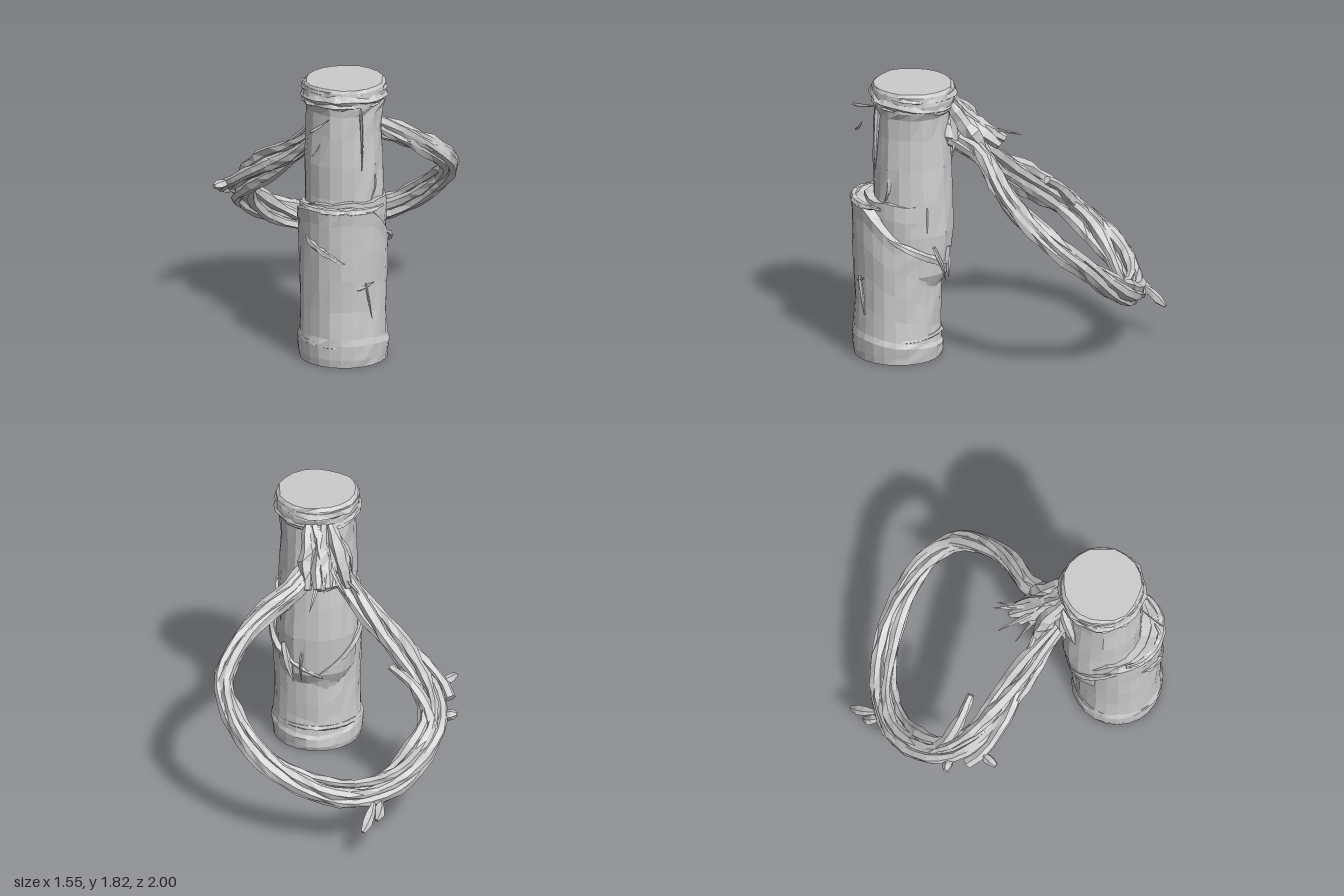
import * as THREE from 'three';

const V = (x, y, z) => new THREE.Vector3(x, y, z);
const TAU = Math.PI * 2;

export function createModel() {
  const group = new THREE.Group();
  const material = new THREE.MeshStandardMaterial({ color: 0xcccccc, flatShading: true, side: THREE.DoubleSide });
  let seed = 7;
  const rnd = () => (seed = (seed * 16807) % 2147483647) / 2147483647;
  const jit = (s) => (rnd() - 0.5) * 2 * s;

  // Skin a list of equal-length rings, capping both ends
  function loft(name, rings) {
    const n = rings[0].length, pos = [], idx = [];
    rings.forEach((r) => r.forEach((p) => pos.push(p.x, p.y, p.z)));
    for (let i = 0; i < rings.length - 1; i++) {
      for (let j = 0; j < n; j++) {
        const a = i * n + j, b = i * n + (j + 1) % n;
        idx.push(a, b, b + n, a, b + n, a + n);
      }
    }
    [0, rings.length - 1].forEach((row, end) => {
      const c = V(0, 0, 0);
      rings[row].forEach((p) => c.addScaledVector(p, 1 / n));
      const ci = pos.length / 3;
      pos.push(c.x, c.y, c.z);
      for (let j = 0; j < n; j++) {
        const a = row * n + j, b = row * n + (j + 1) % n;
        if (end) idx.push(ci, a, b); else idx.push(ci, b, a);
      }
    });
    const geo = new THREE.BufferGeometry();
    geo.setAttribute('position', new THREE.Float32BufferAttribute(pos, 3));
    geo.setIndex(idx);
    geo.computeVertexNormals();
    const mesh = new THREE.Mesh(geo, material);
    mesh.name = name;
    group.add(mesh);
  }

  // Horizontal ring; angle 0 faces the front and grows towards +x
  function ring(cx, cz, r, height, noise = 0, n = 20) {
    return Array.from({ length: n }, (_, j) => {
      const a = j / n * TAU, rr = r + jit(noise);
      return V(cx + Math.sin(a) * rr, typeof height === 'function' ? height(a) : height, cz + Math.cos(a) * rr);
    });
  }

  // Rough stem along a path; radius(t) may taper, flat squashes one axis
  function stem(name, pts, radius, { segs = 10, sides = 6, noise = 0.2, flat = 1 } = {}) {
    const curve = new THREE.CatmullRomCurve3(pts.map((p) => V(...p)));
    const f = curve.computeFrenetFrames(segs);
    const rings = [];
    for (let i = 0; i <= segs; i++) {
      const c = curve.getPointAt(i / segs), r = radius(i / segs);
      rings.push(Array.from({ length: sides }, (_, j) => {
        const a = j / sides * TAU, k = r * (1 + jit(noise));
        return c.clone().addScaledVector(f.normals[i], Math.cos(a) * k).addScaledVector(f.binormals[i], Math.sin(a) * k * flat);
      }));
    }
    loft(name, rings);
  }
  const spike = (name, pts, r, flat = 0.5) =>
    stem(name, pts, (t) => r * (0.25 + 1.6 * Math.sqrt(t + 0.05)) * (1 - t) + 0.002, { segs: 5, sides: 5, flat });

  // Piecewise linear height around the trunk, in degrees from the front
  const edge = (table) => (a) => {
    let d = a * 360 / TAU;
    if (d > 180) d -= 360;
    const k = Math.max(1, table.findIndex((p) => p[0] >= d - 1e-6));
    const [a0, h0] = table[k - 1], [a1, h1] = table[k];
    return h0 + (h1 - h0) * (d - a0) / (a1 - a0) + 0.008 * Math.sin(a * 7);
  };

  // Upper trunk
  const X = 0.095;
  loft('upperTrunk', [[0.45, 0.2, 0.64], [0.58, 0.25, 0.62], [0.85, 0.265, 0.605], [1.08, 0.252, 0.6], [1.3, 0.247, 0.605],
    [1.5, 0.24, 0.61], [1.64, 0.24, 0.605], [1.69, 0.258, 0.6], [1.74, 0.266, 0.6], [1.8, 0.264, 0.6], [1.82, 0.248, 0.6]]
    .map(([y, r, z]) => ring(X, z, r, y, 0.008)));

  // Lower sheath with a torn top edge falling towards the back
  const torn = edge([[-180, 0.56], [-135, 0.78], [-100, 0.98], [-60, 1.05], [0, 1.06], [45, 1.05], [70, 0.92], [95, 0.82], [135, 0.68], [180, 0.56]]);
  const profile = [[0, 0.28], [0.05, 0.288], [0.14, 0.29], [0.18, 0.28], [0.35, 0.274], [0.55, 0.277], [0.75, 0.28], [0.9, 0.286], [0.985, 0.292], [1, 0.275]];
  const sheath = profile.map(([t, r]) => ring(X, 0.695 + 0.012 * t, r, (a) => t * torn(a), t ? 0.006 : 0, 24));
  sheath.push(ring(X, 0.62, 0.22, (a) => torn(a) - 0.015, 0.01, 24));
  loft('lowerSheath', sheath);

  // Second bark layer beneath the torn edge
  const inner = edge([[-180, 0.8], [-130, 0.86], [-90, 1.02], [0, 1.08], [90, 1.07], [122, 1.05], [128, 0.86], [180, 0.8]]);
  loft('innerBark', [[0.5, 0.2], [0.72, 0.256], [0.9, 0.272], [1, 0.27]].map(([t, r]) =>
    ring(X, 0.64, r, (a) => t * inner(a), 0.005, 24)).concat([ring(X, 0.61, 0.22, (a) => inner(a) - 0.01, 0, 24)]));

  // Raised bands wrapped around the trunk
  function band(name, z, y, r, thick, tilt, from = 0, sweep = 350) {
    const pts = Array.from({ length: 17 }, (_, i) => {
      const a = (from + sweep * i / 16) * TAU / 360;
      return [X + Math.sin(a) * r, y + tilt * Math.cos(a), z + Math.cos(a) * r];
    });
    stem(name, pts, (t) => thick * (0.45 + 0.55 * Math.sin(t * Math.PI)), { segs: 24, sides: 5, noise: 0.3 });
  }
  band('rimBand', 0.6, 1.78, 0.25, 0.03, 0.012, 20);
  band('rimBand', 0.6, 1.72, 0.25, 0.034, 0.03, 190);
  band('rimBand', 0.6, 1.69, 0.245, 0.028, 0.02, 100);
  band('baseBand', 0.7, 0.15, 0.272, 0.02, -0.012, 60);
  band('sheathLip', 0.705, 1.045, 0.272, 0.024, 0, -80, 150);

  // Torn slanting ridges: right side, front slash, left side
  for (const [a0, a1, y0, y1, r, z] of [[60, 185, 0.88, 0.56, 0.29, 0.66], [-60, 5, 0.86, 0.7, 0.279, 0.7], [-75, -180, 0.98, 0.58, 0.285, 0.66]]) {
    const pts = Array.from({ length: 7 }, (_, i) => {
      const t = i / 6, a = (a0 + (a1 - a0) * t) * TAU / 360;
      return [X + Math.sin(a) * r, y0 + (y1 - y0) * t, z + Math.cos(a) * r];
    });
    stem('tornRidge', pts, (t) => 0.006 + 0.02 * Math.sin(t * Math.PI), { segs: 10, sides: 5, noise: 0.3 });
  }

  // Bark splinters and cracks
  spike('crackStrip', [[0.21, 1.7, 0.82], [0.22, 1.5, 0.83], [0.22, 1.27, 0.835]], 0.02);
  spike('crackStrip', [[0.29, 1.28, 0.74], [0.3, 1.15, 0.745], [0.27, 1.06, 0.78]], 0.018);
  spike('crackStrip', [[0.33, 1.05, 0.5], [0.33, 0.95, 0.5], [0.33, 0.86, 0.5]], 0.012);
  spike('hangingBark', [[0.31, 0.78, 0.46], [0.29, 0.65, 0.41], [0.25, 0.53, 0.385]], 0.03);
  spike('hangingBark', [[0.2, 0.75, 0.37], [0.21, 0.64, 0.375], [0.2, 0.54, 0.37]], 0.025);
  spike('knot', [[0.14, 0.52, 0.96], [0.23, 0.53, 0.94], [0.3, 0.56, 0.9]], 0.022);
  spike('knot', [[0.25, 0.56, 0.93], [0.27, 0.42, 0.915], [0.29, 0.31, 0.9]], 0.014);
  spike('leafSliver', [[-0.1, 1.59, 0.99], [-0.05, 1.6, 0.92], [0.01, 1.62, 0.84]], 0.012);
  spike('leafSliver', [[-0.09, 1.42, 0.97], [-0.06, 1.45, 0.95], [-0.04, 1.49, 0.93]], 0.011);

  // Looped vine: a core and strands twisted about one tilted path
  const path = [[0.12, 1.46, 0.34], [0.22, 1.38, 0.16], [0.36, 1.29, 0.08], [0.5, 1.2, 0], [0.65, 1.07, -0.16], [0.715, 0.95, -0.32],
    [0.66, 0.8, -0.5], [0.55, 0.67, -0.61], [0.4, 0.55, -0.7], [0.15, 0.44, -0.77], [-0.1, 0.39, -0.78], [-0.35, 0.44, -0.71],
    [-0.53, 0.56, -0.57], [-0.62, 0.7, -0.4], [-0.58, 0.84, -0.22], [-0.45, 0.98, -0.07], [-0.28, 1.13, 0.08], [-0.12, 1.3, 0.22], [0.02, 1.47, 0.36]];
  const loop = new THREE.CatmullRomCurve3(path.map((p) => V(...p)));
  const N = 44, frames = loop.computeFrenetFrames(N);
  stem('vineCore', path, () => 0.045, { segs: 40 });
  for (let k = 0; k < 5; k++) {
    const pts = [];
    for (let i = 0; i <= N; i++) {
      const t = i / N, a = k / 5 * TAU + t * TAU * 0.9 + 0.3 * Math.sin(t * 17 + k);
      const off = 0.036 + 0.03 * Math.sin(Math.PI * Math.max(0, (t - 0.3) / 0.7)) + 0.008 * Math.sin(t * 23 + k * 2);
      pts.push(loop.getPointAt(t).addScaledVector(frames.normals[i], Math.cos(a) * off)
        .addScaledVector(frames.binormals[i], Math.sin(a) * off).toArray());
    }
    stem('vineStrand', pts, (t) => 0.035 + 0.006 * Math.sin(t * 31 + k * 2), { segs: 46, noise: 0.28 });
  }
  // Loose strands where the loop splits
  stem('looseVine', [[-0.62, 0.67, -0.47], [-0.57, 0.8, -0.37], [-0.47, 0.92, -0.29], [-0.35, 1.0, -0.23]], (t) => 0.05 - 0.025 * t);
  stem('looseVine', [[-0.73, 0.77, -0.25], [-0.68, 0.84, -0.15], [-0.5, 0.99, 0], [-0.3, 1.12, 0.1], [-0.1, 1.3, 0.28]], () => 0.035);

  // Stubby twigs on the loop
  const twigs = [[[-0.64, 0.7, -0.36], [-0.7, 0.72, -0.37], [-0.77, 0.74, -0.39]], [[-0.66, 0.84, -0.18], [-0.71, 0.84, -0.13], [-0.77, 0.84, -0.07]],
    [[-0.24, 0.38, -0.8], [-0.21, 0.3, -0.9], [-0.16, 0.23, -0.99]], [[-0.28, 0.38, -0.78], [-0.27, 0.31, -0.86], [-0.25, 0.27, -0.91]]];
  for (const pts of twigs) stem('twig', pts, (t) => 0.026 + 0.016 * Math.sin((t - 0.35) * Math.PI / 0.65) - 0.012 * t, { segs: 4, sides: 5 });

  // Branch node: bark straps and splinters fanning from the back of the trunk
  for (const [x0, x1, y1, z1] of [[0.1, 0.04, 1.42, 0.02], [0.06, 0.1, 1.4, 0.05], [0.12, 0, 1.4, 0.08], [0.02, -0.09, 1.34, 0.18], [0.16, 0.17, 1.36, 0.12]]) {
    stem('nodeStrap', [[x0, 1.7, 0.36], [(x0 + x1) / 2, 1.56, 0.26], [x1, y1, z1]], (t) => 0.026 + 0.028 * Math.sin(t * Math.PI), { segs: 7, noise: 0.28 });
  }
  stem('nodeCore', [[X, 1.5, 0.45], [0.07, 1.46, 0.28], [0.05, 1.4, 0.14]], (t) => 0.13 - 0.06 * t, { segs: 5, sides: 8 });
  const tips = [[-0.07, 1.42, -0.06], [0.07, 1.46, -0.09], [0.16, 1.31, -0.07], [-0.24, 1.25, 0.1], [-0.1, 1.3, 0.05]];
  for (const [x, y, z] of tips) spike('nodeSplinter', [[0.06, 1.6, 0.3], [(x + 0.06) / 2, (y + 1.53) / 2, (z + 0.25) / 2], [x, y, z]], 0.024);
  // Roots of the node hugging the trunk
  for (const [x, z, y] of [[-0.12, 0.46, 1.3], [-0.06, 0.4, 1.22], [0.22, 0.38, 1.38]]) {
    spike('nodeRoot', [[x * 0.4 + 0.05, 1.64, 0.35], [x * 0.8, 1.48, z - 0.06], [x, y, z - 0.03]], 0.04, 0.7);
  }
  return group;
}
